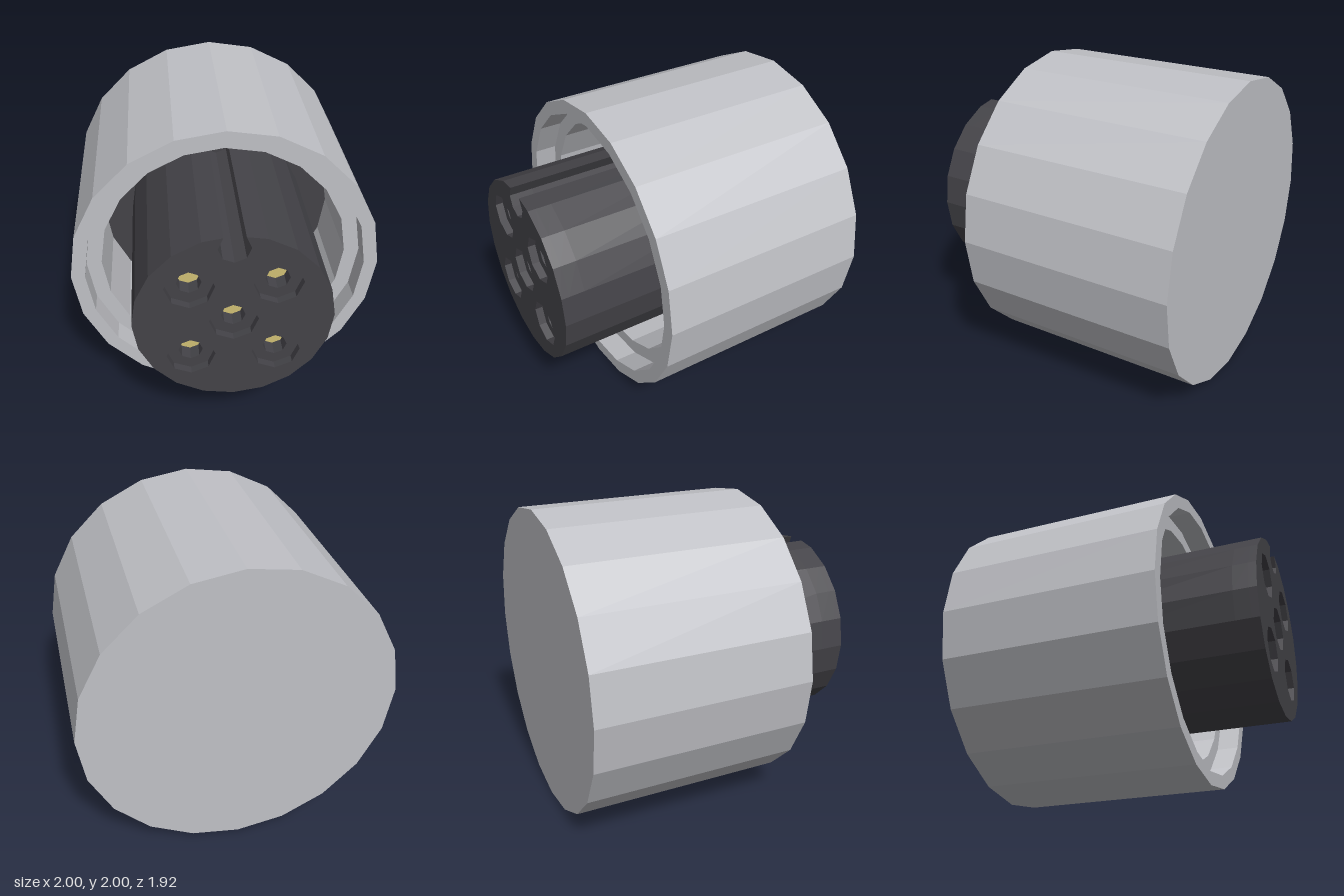
import * as THREE from 'three';

const SIDES = 20;
const FRONT = 0.96, RIM = 0.46, FLOOR = -0.33;
const PINS = [[0, 0], [0.262, 0.262], [-0.262, 0.262], [0.262, -0.262], [-0.262, -0.262]];

// Corners of a regular polygon with one corner straight up
function ring(cx, cy, r, n) {
  return Array.from({ length: n }, (_, i) => {
    const a = Math.PI / 2 + (i * 2 * Math.PI) / n;
    return new THREE.Vector2(cx + r * Math.cos(a), cy + r * Math.sin(a));
  });
}

// Faceted plug outline, with the top corner replaced by a keyway
function plugShape(holeRadius) {
  const keyway = [[0.065, 0.6], [0.097, 0.525], [0.069, 0.456], [0, 0.428],
    [-0.069, 0.456], [-0.097, 0.525], [-0.065, 0.6]].map(([x, y]) => new THREE.Vector2(x, y));
  const shape = new THREE.Shape([...keyway, ...ring(0, 0, 0.61, SIDES).slice(1)]);
  if (holeRadius) {
    for (const [x, y] of PINS) shape.holes.push(new THREE.Path(ring(x, y, holeRadius, 8)));
  }
  return shape;
}

export function createModel() {
  const model = new THREE.Group();
  const material = (name, color) => {
    const m = new THREE.MeshStandardMaterial({ color, flatShading: true });
    m.name = name;
    return m;
  };
  const metal = material('light grey metal', 0xc0c1c6);
  const plastic = material('dark plastic', 0x444348);
  const gold = material('gold contact', 0xd1c075);

  const add = (name, geometry, mat, x = 0, y = 0, z = 0) => {
    const mesh = new THREE.Mesh(geometry, mat);
    mesh.name = name;
    mesh.position.set(x, y + 1, z);
    model.add(mesh);
  };

  // Cup-shaped shell with a stepped bore
  const profile = [[0, -0.96], [1, -0.96], [1, RIM], [0.91, RIM], [0.91, 0.31], [0.81, 0.31], [0.81, FLOOR - 0.02]]
    .map(([r, z]) => new THREE.Vector2(r, z));
  add('shell', new THREE.LatheGeometry(profile, SIDES).rotateX(Math.PI / 2), metal);

  // Dark floor of the bore
  add('boreFloor', new THREE.ShapeGeometry(new THREE.Shape(ring(0, 0, 0.81, SIDES))), plastic, 0, 0, FLOOR);

  // Plug in three slices: solid body, contact bores, wider recesses
  for (const [name, z0, z1, radius] of [
    ['plugBody', FLOOR, 0.81, 0],
    ['plugBores', 0.81, 0.91, 0.075],
    ['plugFace', 0.91, FRONT, 0.15],
  ]) {
    const geometry = new THREE.ExtrudeGeometry(plugShape(radius), { depth: z1 - z0, bevelEnabled: false });
    add(name, geometry, plastic, 0, 0, z0);
  }

  // Gold contacts at the bottom of the bores
  const contact = new THREE.ShapeGeometry(new THREE.Shape(ring(0, 0, 0.075, 8)));
  for (const [x, y] of PINS) add('contact', contact, gold, x, y, 0.815);

  return model;
}
